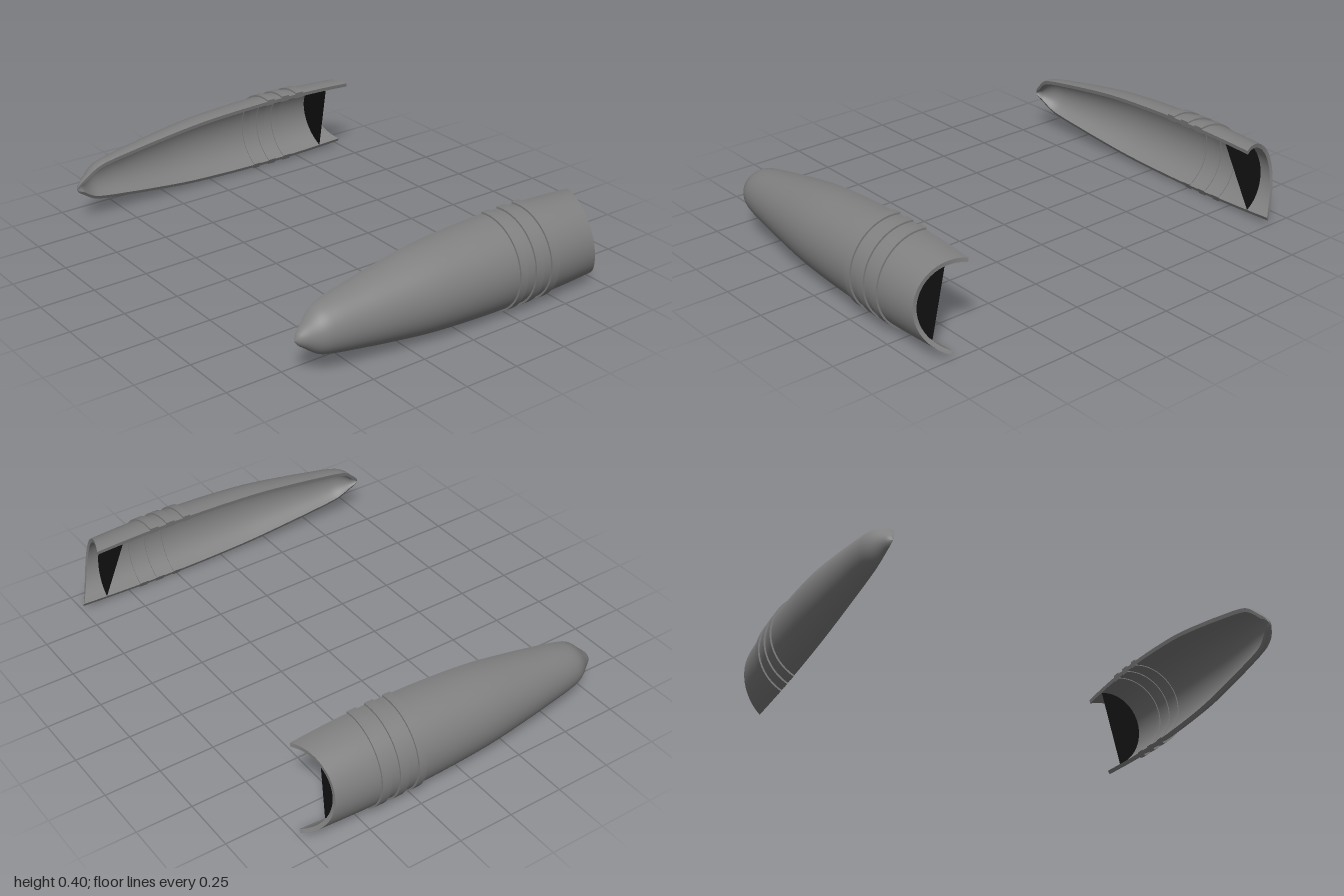
import * as THREE from 'three';
import { mergeGeometries } from 'three/addons/utils/BufferGeometryUtils.js';

const RAD = Math.PI / 180;
const TOP = 101, BOTTOM = -63;      // angles of the two long cut edges
const WALL = 0.018, MAX_R = 0.205;

// Radius along the length, from nose tip to tail
const profile = new THREE.SplineCurve([
  [-0.75, 0], [-0.737, 0.024], [-0.71, 0.049], [-0.655, 0.094], [-0.59, 0.115], [-0.47, 0.137],
  [-0.35, 0.157], [-0.15, 0.185], [0.05, 0.199], [0.25, 0.205], [0.45, 0.203], [0.6, 0.197], [0.76, 0.187],
].map(([x, r]) => new THREE.Vector2(x, r))).getPoints(240);

function radiusAt(x) {
  const i = Math.max(1, profile.findIndex((p) => p.x >= x));
  const a = profile[i - 1], b = profile[i];
  return Math.max(0, THREE.MathUtils.mapLinear(x, a.x, b.x, a.y, b.y));
}

// Point on the body of revolution, moved in or out by offset
function bodyPoint(x, deg, offset, side) {
  const r = radiusAt(x), k = r / MAX_R;
  const rr = offset < 0 ? Math.max(r * 0.6, r + offset) : r + offset;
  const y = 0.18 + 0.015 * k + rr * Math.sin(deg * RAD);
  const z = 0.835 - 0.04 * k + rr * Math.cos(deg * RAD);
  return new THREE.Vector3(x, y, z * side);
}

// Smooth surface from a rule f(u, v)
function grid(f, nu, nv) {
  const pos = [], index = [];
  for (let i = 0; i <= nu; i++) {
    for (let j = 0; j <= nv; j++) {
      pos.push(...f(i / nu, j / nv).toArray());
      if (i < nu && j < nv) {
        const a = i * (nv + 1) + j, b = a + nv + 1;
        index.push(a, b, a + 1, b, b + 1, a + 1);
      }
    }
  }
  const g = new THREE.BufferGeometry();
  g.setAttribute('position', new THREE.Float32BufferAttribute(pos, 3));
  g.setIndex(index);
  g.computeVertexNormals();
  return g;
}

const angle = (v) => THREE.MathUtils.lerp(BOTTOM, TOP, v);

// Thick curved wall: outer and inner skins plus four rim strips
function thickWall(xAt, outer, inner, side, nu) {
  const p = (u, v, w) => bodyPoint(xAt(u, angle(v)), angle(v), THREE.MathUtils.lerp(outer, inner, w), side);
  return mergeGeometries([
    grid((u, v) => p(u, v, 0), nu, 40),
    grid((u, v) => p(u, v, 1), nu, 40),
    grid((u, w) => p(u, 0, w), nu, 1),
    grid((u, w) => p(u, 1, w), nu, 1),
    grid((v, w) => p(0, v, w), 40, 1),
    grid((v, w) => p(1, v, w), 40, 1),
  ]);
}

// Scooped tail edge
function tailX(deg) {
  const d = deg - 25;
  return 0.652 + d * d * (d < 0 ? 1.19e-5 : 0.93e-5);
}

export function createModel() {
  const grey = new THREE.MeshStandardMaterial({ color: 0x808080, side: THREE.DoubleSide });
  grey.name = 'shell grey';
  const black = new THREE.MeshStandardMaterial({ color: 0x101010, side: THREE.DoubleSide });
  black.name = 'bulkhead black';

  const model = new THREE.Group();
  model.name = 'fairingHalves';

  for (const side of [1, -1]) {
    const half = new THREE.Group();
    half.name = side > 0 ? 'frontFairing' : 'backFairing';
    const add = (name, geometry, material) => {
      const mesh = new THREE.Mesh(geometry, material);
      mesh.name = name;
      half.add(mesh);
    };

    // Shell, with sections packed towards the nose
    const shellX = (u, deg) => -0.75 + (tailX(deg) + 0.75) * Math.pow(u, 1.7);
    add('shell', thickWall(shellX, 0, -WALL, side, 70), grey);

    // Three raised bands, each leaning a little more than the last
    [[0.235, 0.272, 0], [0.316, 0.358, 0.005], [0.398, 0.44, 0.01]].forEach(([x0, x1, lean], i) => {
      const x = (u, deg) => THREE.MathUtils.lerp(x0, x1, u) + lean * (TOP - deg) / (TOP - BOTTOM);
      add('band' + (i + 1), thickWall(x, 0.008, -WALL - 0.004, side, 1), grey);
    });

    // Dark slanted bulkhead inside the tail
    const rim = (v) => {
      const p = bodyPoint(0.6, angle(v), -WALL, side);
      p.x = 0.58 + (0.36 - p.y) * 0.14;
      return p;
    };
    const middle = rim(0).lerp(rim(1), 0.5);
    add('bulkhead', grid((u, v) => middle.clone().lerp(rim(v), u), 1, 40), black);

    model.add(half);
  }
  return model;
}
